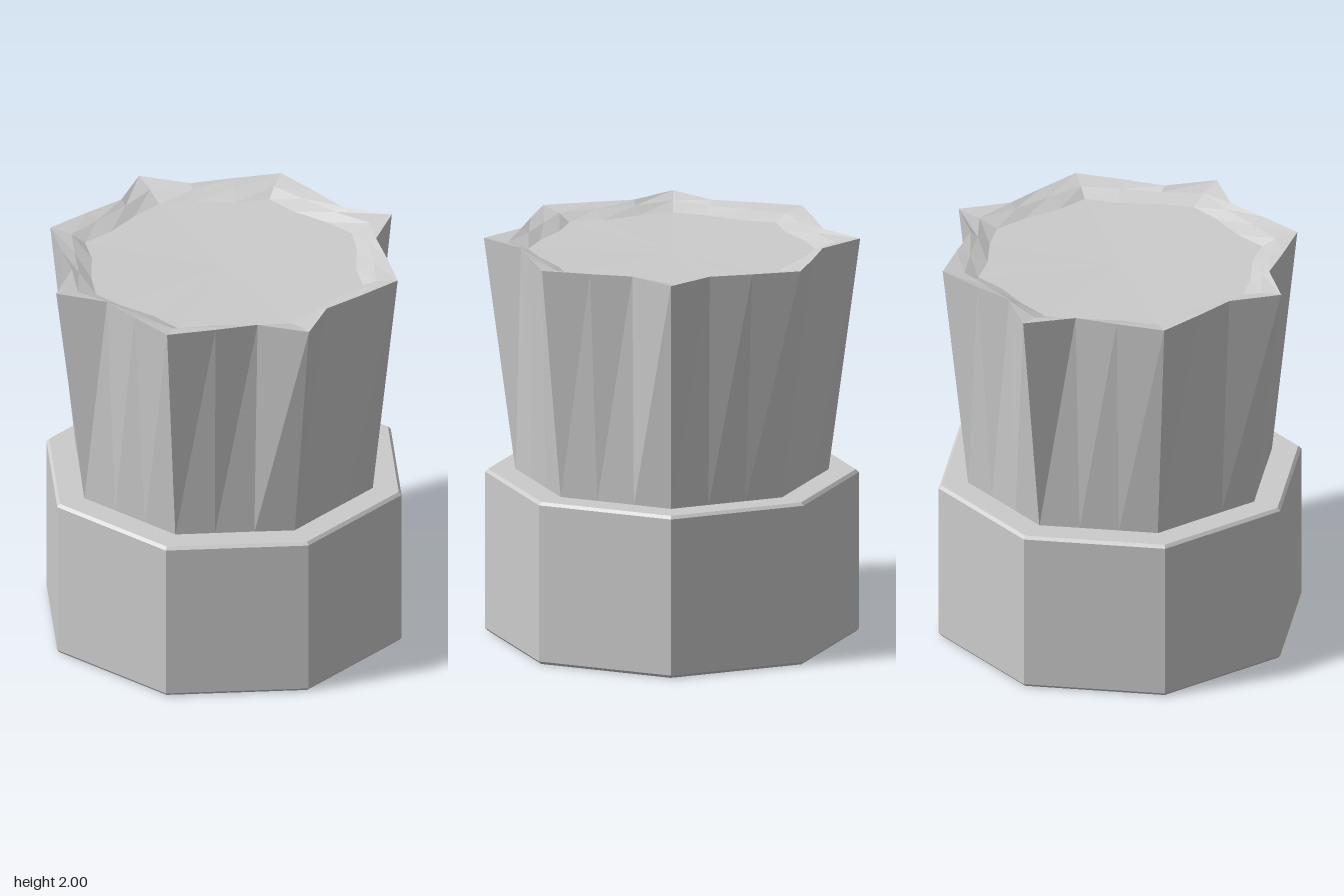
import * as THREE from 'three';

const material = new THREE.MeshStandardMaterial({ color: 0xcccccc, flatShading: true });

// Completes a ring of 24 points from the eighth between the +z axis and the diagonal
function ring(y, eighth) {
  const quarter = [...eighth, [eighth[2][1], eighth[2][0]], [eighth[1][1], eighth[1][0]]];
  const points = [];
  for (let turn = 0; turn < 4; turn++) {
    for (let [x, z] of quarter) {
      for (let t = 0; t < turn; t++) [x, z] = [z, -x];
      points.push([x, y, z]);
    }
  }
  return points;
}

// Skins a stack of rings from the bottom up
function loft(rings) {
  const n = rings[0].length;
  const index = [];
  for (let r = 0; r < rings.length - 1; r++) {
    for (let i = 0; i < n; i++) {
      const a = r * n + i, b = r * n + (i + 1) % n;
      index.push(a, b, b + n, a, b + n, a + n);
    }
  }
  const geometry = new THREE.BufferGeometry();
  geometry.setAttribute('position', new THREE.Float32BufferAttribute(rings.flat(2), 3));
  geometry.setIndex(index);
  const flat = geometry.toNonIndexed();
  flat.computeVertexNormals();
  return flat;
}

export function createModel() {
  const group = new THREE.Group();

  // Octagonal base with chamfered rims and a recess underneath
  const profile = [
    [0, 0.165], [0.88, 0.165], [0.895, 0], [0.905, 0], [0.92, 0.015],
    [0.92, 0.81], [0.905, 0.825], [0, 0.825],
  ].map(([r, y]) => new THREE.Vector2(r, y));
  const base = new THREE.Mesh(new THREE.LatheGeometry(profile, 8), material);
  base.name = 'base';
  group.add(base);

  // Flaring column: octagonal at the foot, eight-pointed at the rim, with a shallow dished top
  const column = new THREE.Mesh(loft([
    ring(0.82, [[0, 0.77], [0.18, 0.695], [0.36, 0.62], [0.545, 0.545]]),
    ring(2, [[0, 0.9], [0.21, 0.775], [0.39, 0.66], [0.655, 0.655]]),
    ring(1.98, [[0, 0.79], [0.18, 0.715], [0.37, 0.63], [0.57, 0.57]]),
    ring(1.945, [[0, 0.72], [0.15, 0.635], [0.345, 0.575], [0.5, 0.5]]),
    ring(1.93, [[0, 0], [0, 0], [0, 0], [0, 0]]),
  ]), material);
  column.name = 'flutedColumn';
  group.add(column);

  return group;
}
